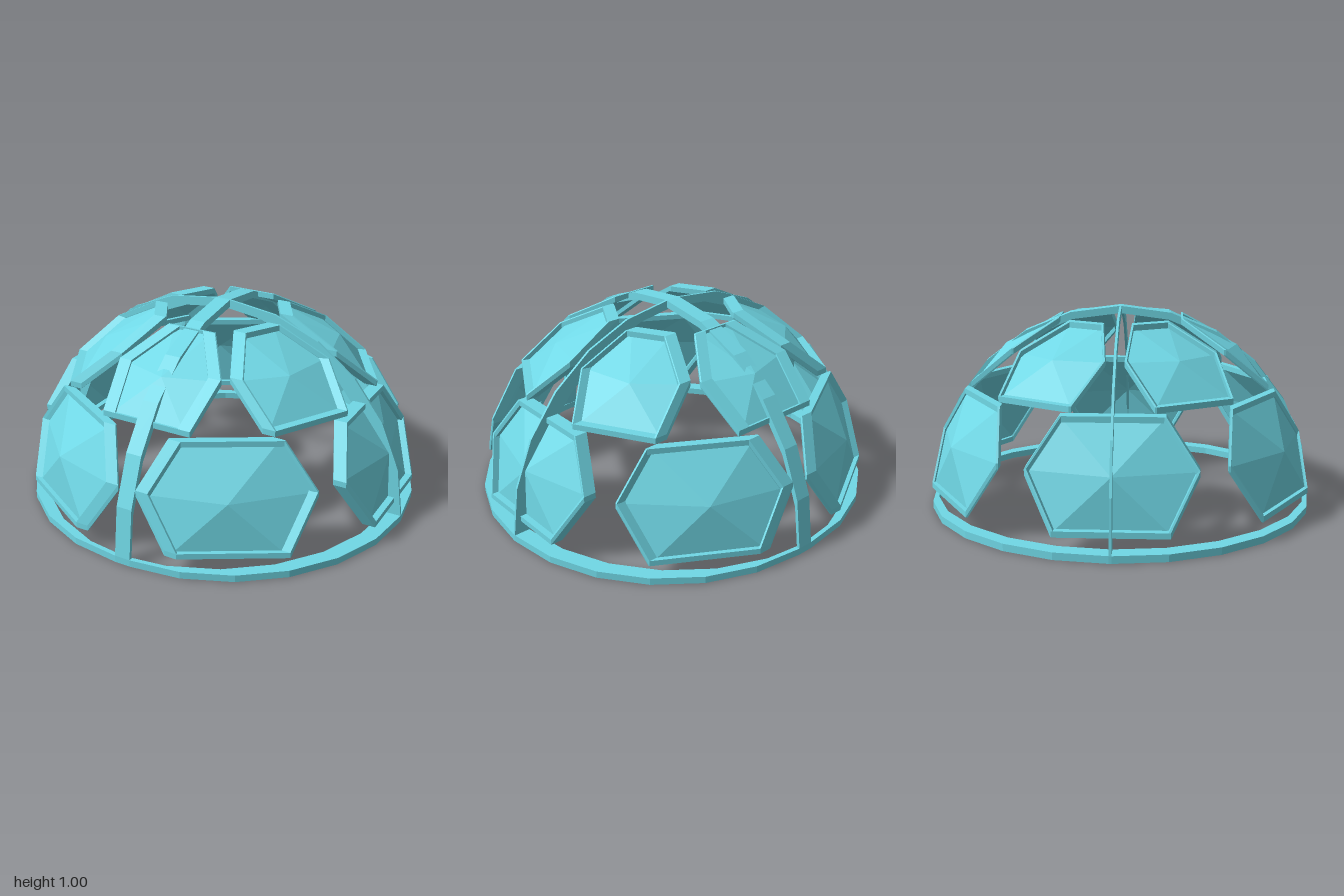
import * as THREE from 'three';
import { ConvexGeometry } from 'three/addons/geometries/ConvexGeometry.js';
import { mergeGeometries } from 'three/addons/utils/BufferGeometryUtils.js';

const DOME = 0.96;      // radius of the ring and arches
const PANELS = 0.968;   // radius on which the panel corners lie
const BASE = 0.0175;    // height of the dome's centre above the ground
// Struts keep one upright section: wide in x, low in y, thin in z (half sizes)
const HOOP_SECTION = [0.04, 0.0175, 0.006];
const FRAME_SECTION = [0.032, 0.014, 0.005];

// Point on a sphere from azimuth in degrees and height above its centre
function onSphere(radius, azimuth, y) {
  const a = THREE.MathUtils.degToRad(azimuth), r = Math.sqrt(radius * radius - y * y);
  return new THREE.Vector3(r * Math.cos(a), y + BASE, r * Math.sin(a));
}

// Straight bar: the hull of the section block placed at both ends
function strut(a, b, [sx, sy, sz]) {
  const points = [];
  for (const p of [a, b])
    for (const x of [-sx, sx])
      for (const y of [-sy, sy])
        for (const z of [-sz, sz]) points.push(new THREE.Vector3(p.x + x, p.y + y, p.z + z));
  return new ConvexGeometry(points);
}

// Chain of bars through a list of points
function chain(points, section) {
  const bars = points.slice(1).map((p, i) => strut(points[i], p, section));
  return mergeGeometries(bars);
}

// Points along a circle of the dome in 15 degree steps
function arc(steps, place) {
  return Array.from({ length: steps + 1 }, (_, i) => {
    const t = (i * Math.PI) / 12;
    return place(DOME * Math.cos(t), DOME * Math.sin(t));
  });
}

// Thin faceted sheet rising from the frame to a central point
function sheet(corners, apex) {
  const points = corners.flatMap((p, i) => [apex, p, corners[(i + 1) % corners.length]]);
  const geometry = new THREE.BufferGeometry().setFromPoints(points);
  geometry.computeVertexNormals();
  return geometry;
}

export function createModel() {
  const model = new THREE.Group();
  model.name = 'panelDome';
  const color = 0x70d8e6;
  const solid = new THREE.MeshStandardMaterial({ color, flatShading: true });
  const thin = new THREE.MeshStandardMaterial({ color, flatShading: true, side: THREE.DoubleSide });

  const add = (parent, name, geometry, material) => {
    const mesh = new THREE.Mesh(geometry, material);
    mesh.name = name;
    parent.add(mesh);
  };

  // Base ring and two crossing arches
  const ring = arc(24, (u, v) => new THREE.Vector3(u, BASE, v));
  const sideArch = arc(12, (u, v) => new THREE.Vector3(u, BASE + v, 0));
  const frontArch = arc(12, (u, v) => new THREE.Vector3(0, BASE + v, u));
  add(model, 'baseRing', chain(ring, HOOP_SECTION), solid);
  add(model, 'sideArch', chain(sideArch, HOOP_SECTION), solid);
  add(model, 'frontArch', chain(frontArch, HOOP_SECTION), solid);

  // Six-sided panel: a frame of bars with a faceted sheet inside
  const addPanel = (name, azimuth, [low, mid, high]) => {
    const outline = [[-15.4, low], [-25, mid], [-17.2, high], [17.2, high], [25, mid], [15.4, low]];
    const corners = outline.map(([turn, y]) => onSphere(PANELS, azimuth + turn, y));
    const panel = new THREE.Group();
    panel.name = name;
    add(panel, 'frame', chain([...corners, corners[0]], FRAME_SECTION), solid);
    add(panel, 'sheet', sheet(corners, onSphere(0.98, azimuth, mid)), thin);
    model.add(panel);
  };

  // Two staggered rows
  for (let i = 0; i < 6; i++) {
    addPanel('lowerPanel' + (i + 1), i * 60, [0.097, 0.345, 0.568]);
    addPanel('upperPanel' + (i + 1), 30 + i * 60, [0.607, 0.783, 0.912]);
  }
  return model;
}
